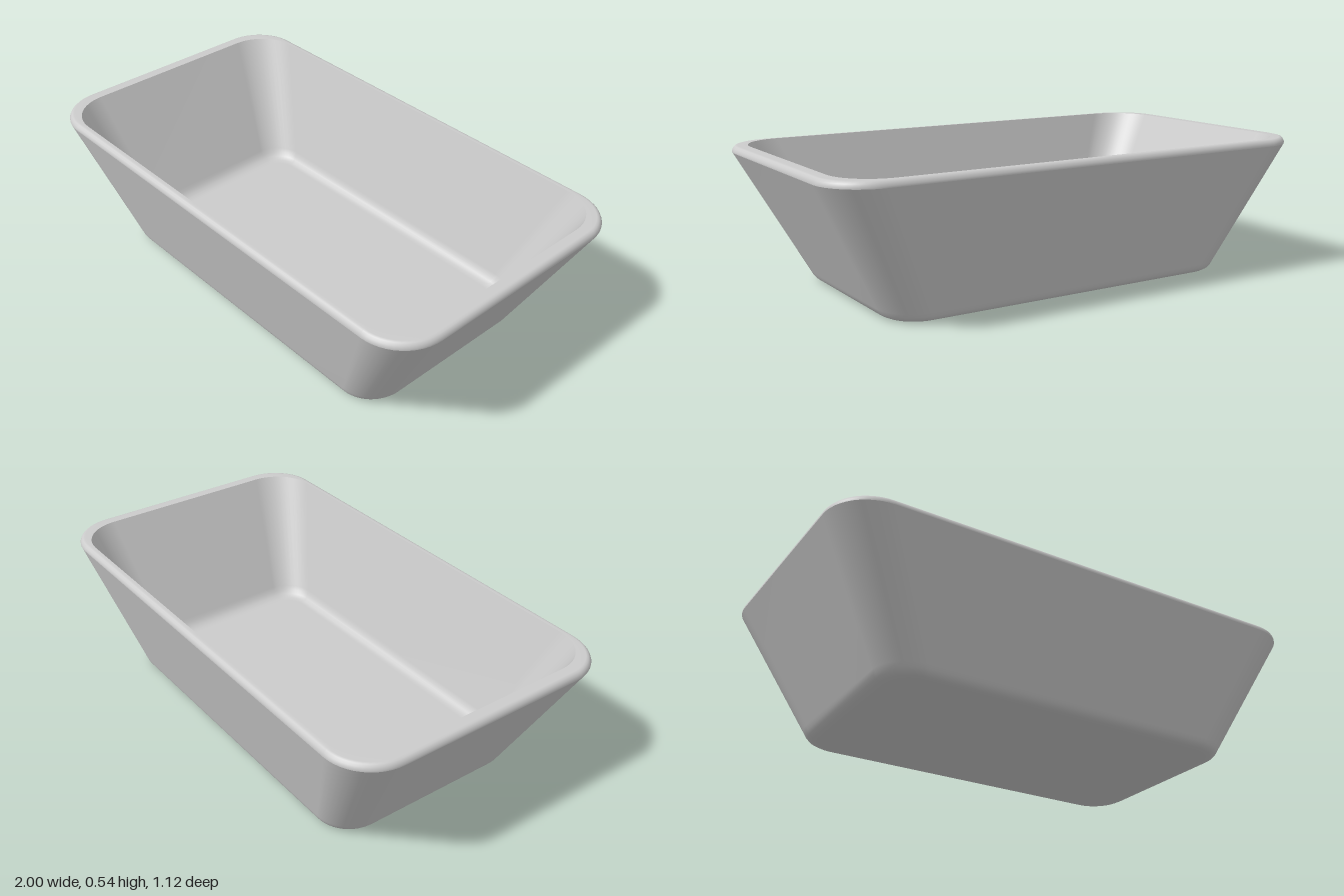
import * as THREE from 'three';

const CORNER_STEPS = 12;

// Rounded rectangle outline at height y, anticlockwise seen from above
function ring([hx, hz, r, y]) {
  const points = [];
  const centres = [[1, 1], [-1, 1], [-1, -1], [1, -1]];
  centres.forEach(([sx, sz], corner) => {
    for (let i = 0; i <= CORNER_STEPS; i++) {
      const a = (corner + i / CORNER_STEPS) * Math.PI / 2;
      points.push(sx * (hx - r) + r * Math.cos(a), y, -(sz * (hz - r) + r * Math.sin(a)));
    }
  });
  return points;
}

// Smooth skin through a list of [halfX, halfZ, cornerRadius, y] sections
function loft(name, sections, material) {
  const n = 4 * (CORNER_STEPS + 1);
  const index = [];
  for (let i = 0; i < sections.length - 1; i++) {
    for (let j = 0; j < n; j++) {
      const k = (j + 1) % n;
      const a = i * n + j, b = i * n + k, c = b + n, d = a + n;
      index.push(a, b, c, a, c, d);
    }
  }
  const geometry = new THREE.BufferGeometry();
  geometry.setAttribute('position', new THREE.Float32BufferAttribute(sections.flatMap(ring), 3));
  geometry.setIndex(index);
  geometry.computeVertexNormals();
  const mesh = new THREE.Mesh(geometry, material);
  mesh.name = name;
  return mesh;
}

export function createModel() {
  const material = new THREE.MeshStandardMaterial({ color: 0xcccccc, side: THREE.DoubleSide });
  const dish = new THREE.Group();
  dish.name = 'dish';

  // Underside, rounded foot and sloping outer walls
  dish.add(loft('outerShell', [
    [0, 0, 0, 0],
    [0.69, 0.38, 0.1, 0],
    [0.71, 0.398, 0.118, 0.002],
    [0.727, 0.411, 0.131, 0.01],
    [0.738, 0.419, 0.139, 0.022],
    [0.746, 0.424, 0.142, 0.037],
    [1, 0.56, 0.18, 0.51],
  ], material));

  // Rim with a rolled outer edge
  dish.add(loft('rim', [
    [1, 0.56, 0.18, 0.51],
    [1, 0.56, 0.18, 0.517],
    [0.996, 0.556, 0.176, 0.526],
    [0.989, 0.549, 0.169, 0.533],
    [0.98, 0.541, 0.161, 0.535],
    [0.945, 0.53, 0.167, 0.535],
  ], material));

  // Sloping inner walls, filleted into the floor
  dish.add(loft('innerShell', [
    [0.945, 0.53, 0.167, 0.535],
    [0.711, 0.405, 0.115, 0.098],
    [0.7, 0.398, 0.108, 0.08],
    [0.686, 0.388, 0.1, 0.066],
    [0.666, 0.374, 0.09, 0.057],
    [0.645, 0.355, 0.075, 0.055],
    [0, 0, 0, 0.055],
  ], material));

  return dish;
}
